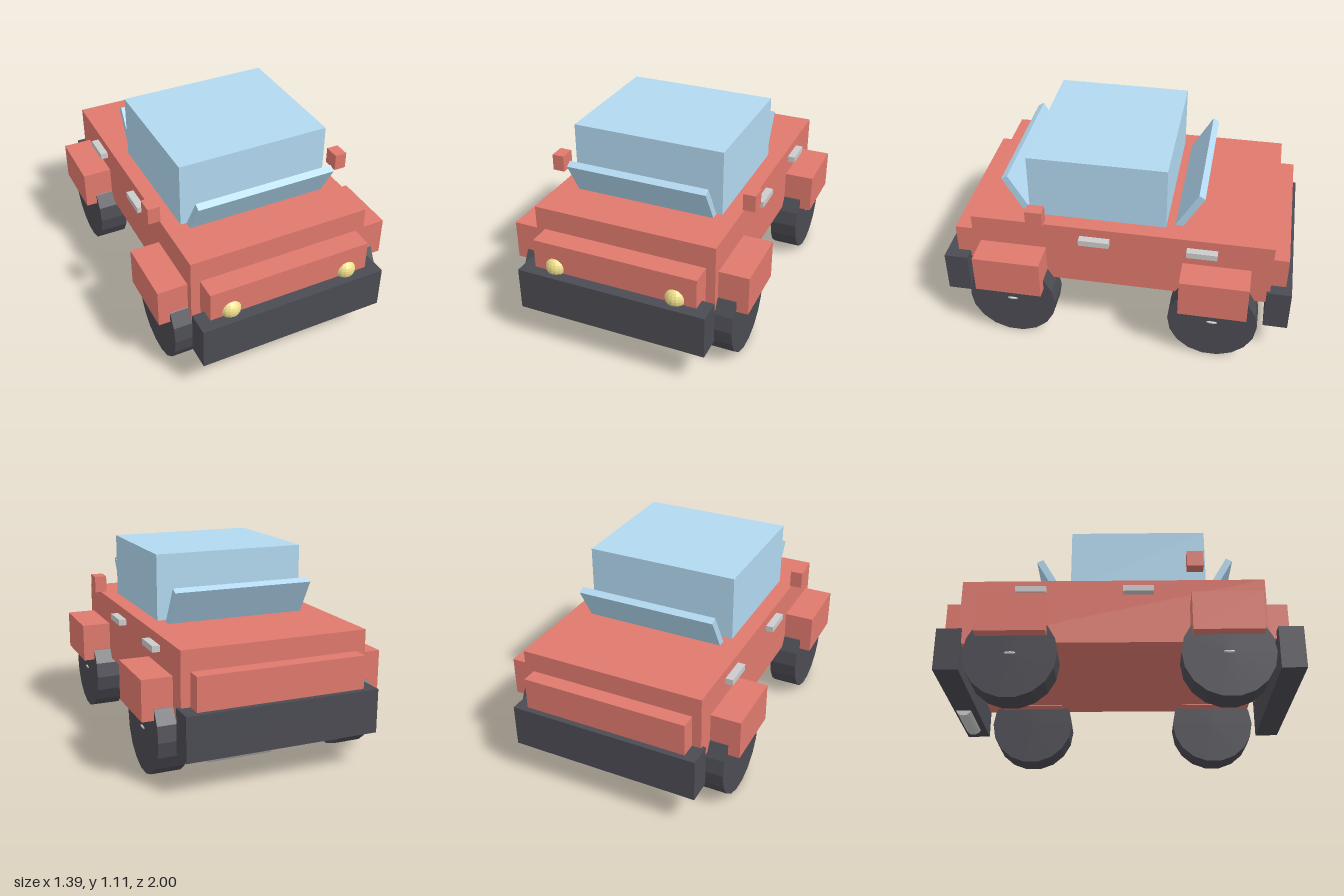
import * as THREE from 'three';

const mat = (color) => new THREE.MeshStandardMaterial({ color, flatShading: true });

export function createModel() {
  const car = new THREE.Group();
  car.name = 'car';
  const red = mat(0xe0796d), dark = mat(0x4b4b53), glass = mat(0xb2d8f0);
  const yellow = mat(0xf0de8c), grey = mat(0xcccccc);

  const add = (name, geometry, material, x, y, z) => {
    const mesh = new THREE.Mesh(geometry, material);
    mesh.name = name;
    mesh.position.set(x, y, z);
    car.add(mesh);
    return mesh;
  };
  // Box given by its limits on each axis
  const box = (name, material, [x0, x1], [y0, y1], [z0, z1]) =>
    add(name, new THREE.BoxGeometry(x1 - x0, y1 - y0, z1 - z0), material,
      (x0 + x1) / 2, (y0 + y1) / 2, (z0 + z1) / 2);

  // Body, nose and tail
  box('body', red, [-0.527, 0.527], [0.357, 0.74], [-0.88, 0.812]);
  box('nose', red, [-0.475, 0.475], [0.4, 0.61], [0.7, 0.935]);
  box('tail', red, [-0.475, 0.475], [0.4, 0.625], [-0.967, -0.75]);

  // Cabin and the two slanted windscreens
  box('cabin', glass, [-0.438, 0.438], [0.73, 1.11], [-0.28, 0.492]);
  const screen = new THREE.BoxGeometry(0.81, 0.3, 0.04);
  add('frontWindscreen', screen, glass, 0, 0.813, 0.561).rotation.x = Math.PI / 6;
  add('rearWindscreen', screen, glass, 0, 0.813, -0.391).rotation.x = -Math.PI / 6;

  // Bumpers
  box('frontBumper', dark, [-0.545, 0.545], [0.195, 0.44], [0.862, 1]);
  box('rearBumper', dark, [-0.545, 0.545], [0.195, 0.44], [-1, -0.862]);

  // Exhaust pipe under the rear bumper
  const pipe = new THREE.CylinderGeometry(0.05, 0.05, 0.35, 16).rotateZ(Math.PI / 2);
  add('exhaust', pipe, grey, 0.245, 0.215, -0.945);

  const wheel = new THREE.CylinderGeometry(0.252, 0.252, 0.165, 18).rotateZ(Math.PI / 2);
  const hub = new THREE.SphereGeometry(1, 12, 8).scale(0.01, 0.009, 0.033);
  const lamp = new THREE.SphereGeometry(0.061, 16, 12);
  const handle = new THREE.BoxGeometry(0.09, 0.035, 0.17);

  for (const side of [1, -1]) {
    const tag = side > 0 ? 'left' : 'right';
    for (const [end, z] of [['Front', 0.579], ['Rear', -0.577]]) {
      add(`${tag}${end}Wheel`, wheel, dark, side * 0.548, 0.249, z);
      add(`${tag}${end}Hub`, hub, grey, side * 0.628, 0.251, z);
      add(`${tag}${end}Fender`, new THREE.BoxGeometry(0.295, 0.224, 0.38), red,
        side * 0.548, 0.463, z);
    }
    add(`${tag}FrontHandle`, handle, grey, side * 0.525, 0.669, 0.106);
    add(`${tag}RearHandle`, handle, grey, side * 0.525, 0.669, -0.493);
    add(`${tag}Mirror`, new THREE.BoxGeometry(0.07, 0.096, 0.093), red, side * 0.577, 0.831, 0.422);
    add(`${tag}Headlight`, lamp, yellow, side * 0.352, 0.466, 0.91);
  }
  return car;
}
